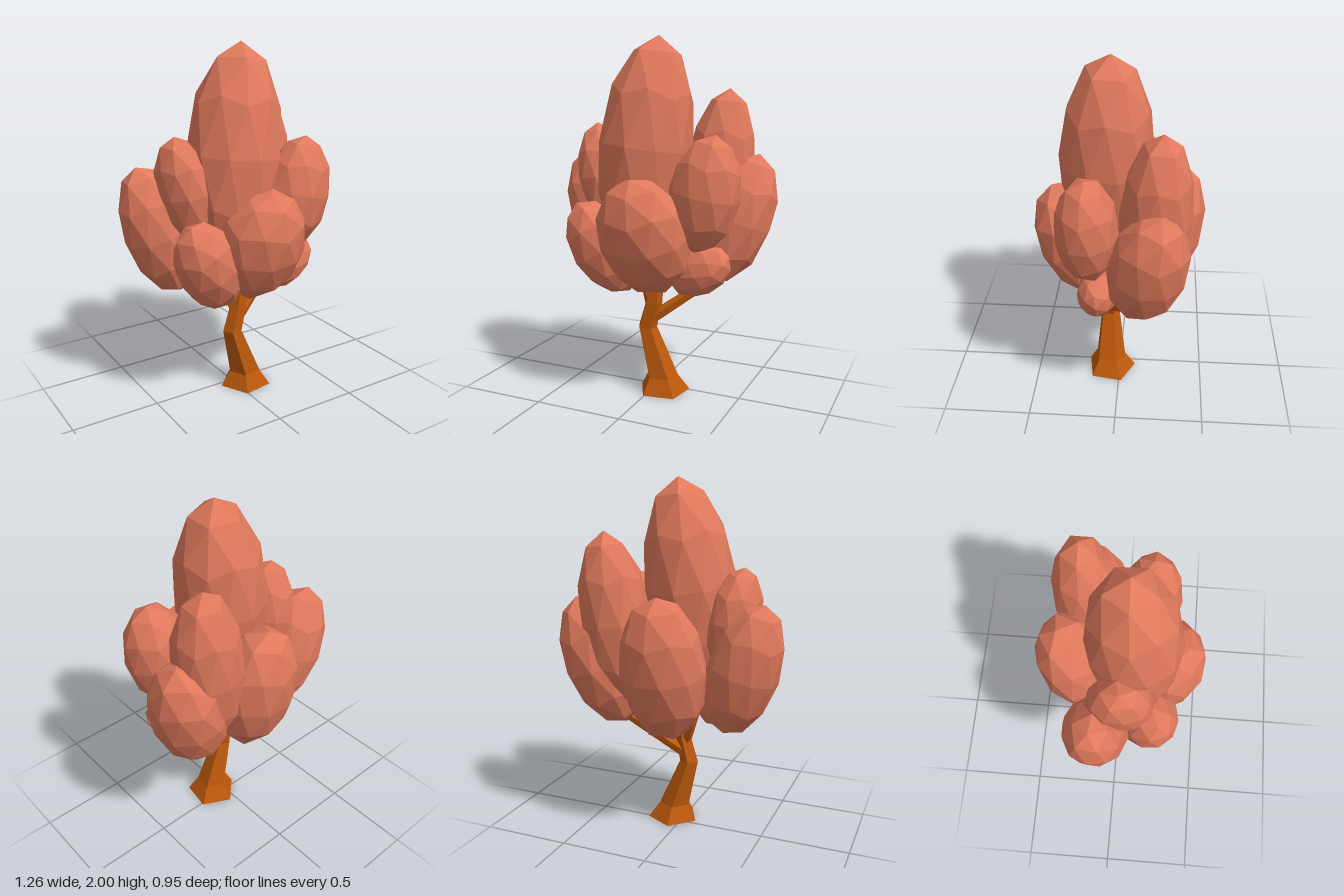
import * as THREE from 'three';

const bark = new THREE.MeshStandardMaterial({ color: 0xbb580c, flatShading: true });
bark.name = 'bark brown';
const leaf = new THREE.MeshStandardMaterial({ color: 0xe0795c, flatShading: true });
leaf.name = 'terracotta leaves';

const UP = new THREE.Vector3(0, 1, 0);

// Faceted ball turned so that one of its main corners points up
function unitBall() {
  const g = new THREE.IcosahedronGeometry(1, 1);
  g.rotateX(-Math.atan2((1 + Math.sqrt(5)) / 2, 1));
  return g;
}

// Leaf clump: centre, radii (length along y), direction its tip points, turn about its axis
function clump(name, centre, radii, tip, spin) {
  const g = unitBall();
  g.rotateY(spin);
  g.scale(...radii);
  const mesh = new THREE.Mesh(g, leaf);
  mesh.name = name;
  mesh.quaternion.setFromUnitVectors(UP, new THREE.Vector3(...tip).normalize());
  mesh.position.set(...centre);
  return mesh;
}

// Five-sided trunk through level rings of [x, y, z, radius]
function trunk(rings) {
  const sides = 5, pos = [], index = [];
  for (const [x, y, z, r] of rings) {
    for (let i = 0; i < sides; i++) {
      const a = Math.PI / 4 + (i * 2 * Math.PI) / sides;
      pos.push(x + r * Math.cos(a), y, z + r * Math.sin(a));
    }
  }
  for (let k = 0; k < rings.length - 1; k++) {
    for (let i = 0; i < sides; i++) {
      const a = k * sides + i, b = k * sides + ((i + 1) % sides);
      index.push(a, a + sides, b, b, a + sides, b + sides);
    }
  }
  const top = (rings.length - 1) * sides;
  for (let i = 1; i < sides - 1; i++) {
    index.push(0, i, i + 1, top, top + i + 1, top + i);
  }
  const g = new THREE.BufferGeometry();
  g.setAttribute('position', new THREE.Float32BufferAttribute(pos, 3));
  g.setIndex(index);
  const flat = g.toNonIndexed();
  flat.computeVertexNormals();
  const mesh = new THREE.Mesh(flat, bark);
  mesh.name = 'trunk';
  return mesh;
}

// Tapered branch between two points
function branch(name, from, to, r0, r1) {
  const a = new THREE.Vector3(...from), b = new THREE.Vector3(...to);
  const dir = b.clone().sub(a);
  const mesh = new THREE.Mesh(new THREE.CylinderGeometry(r1, r0, dir.length(), 5), bark);
  mesh.name = name;
  mesh.position.copy(a).add(b).multiplyScalar(0.5);
  mesh.quaternion.setFromUnitVectors(UP, dir.normalize());
  return mesh;
}

export function createModel() {
  const tree = new THREE.Group();
  tree.name = 'tree';

  // Bent trunk with flared foot, and its branches
  tree.add(trunk([
    [0.063, 0, 0.055, 0.15],
    [0.055, 0.09, 0.06, 0.092],
    [-0.035, 0.37, 0.065, 0.056],
    [0.005, 0.52, 0.065, 0.05],
    [0.025, 0.72, 0.06, 0.04],
  ]));
  tree.add(branch('leftBranch', [-0.01, 0.42, 0.06], [0.31, 0.655, -0.06], 0.036, 0.028));
  tree.add(branch('rightBranch', [-0.01, 0.48, 0.06], [-0.1, 0.7, 0.0], 0.03, 0.022));

  // Leaf clumps
  const leaves = new THREE.Group();
  leaves.name = 'leaves';
  leaves.add(
    clump('crownClump', [-0.035, 1.4, 0.078], [0.262, 0.6, 0.262], [0.11, 1, -0.05], -Math.PI / 2),
    clump('tallBackClump', [0.295, 1.23, -0.2], [0.2, 0.49, 0.192], [0.1, 1, -0.06], 0.9),
    clump('upperLeftClump', [0.34, 1.165, 0.155], [0.195, 0.32, 0.172], [0.18, 1, 0], 0.2),
    clump('sideLeftClump', [0.405, 0.99, -0.165], [0.21, 0.39, 0.215], [0.32, 1, -0.18], 0.5),
    clump('lowClump', [0.3, 0.74, 0.11], [0.13, 0.19, 0.112], [0.85, 0.5, 0], 0.4),
    clump('frontClump', [0.03, 0.93, 0.245], [0.262, 0.35, 0.215], [-0.06, 1, 0.42], 0.1),
    clump('frontRightClump', [-0.25, 0.84, 0.18], [0.185, 0.29, 0.172], [-0.55, 1, 0.22], 0.7),
    clump('sideRightClump', [-0.405, 0.99, -0.1], [0.197, 0.385, 0.185], [-0.32, 1, -0.05], 0.2),
    clump('upperRightClump', [-0.31, 1.23, 0.025], [0.148, 0.3, 0.187], [-0.18, 1, 0], 0.5),
    clump('backClump', [0, 0.985, -0.24], [0.245, 0.42, 0.215], [0, 1, -0.22], 0.6),
  );
  tree.add(leaves);
  return tree;
}
